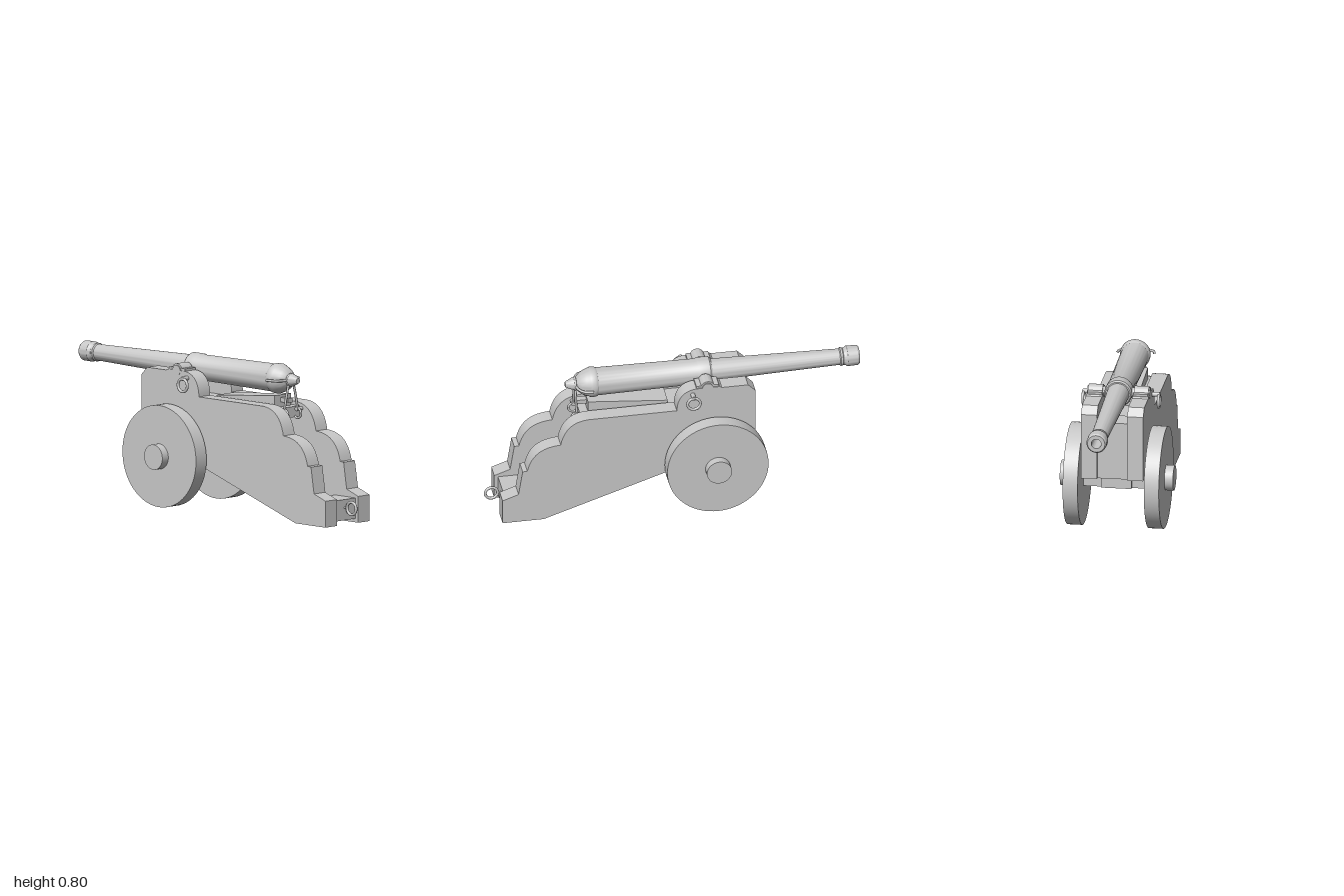
import * as THREE from 'three';
import { toCreasedNormals } from 'three/addons/utils/BufferGeometryUtils.js';

export function createModel() {
  const root = new THREE.Group();
  root.name = 'cannon';
  const grey = new THREE.MeshStandardMaterial({ color: 0xc8c8c8 });
  grey.name = 'plain grey';
  const AXIS_Y = 0.723, TRUNNION_Z = -0.165, WHEEL_Z = -0.203;

  const add = (name, geo, x = 0, y = 0, z = 0) => {
    const m = new THREE.Mesh(geo, grey);
    m.name = name;
    m.position.set(x, y, z);
    root.add(m);
    return m;
  };
  // box given by its limits
  const box = (name, x0, x1, y0, y1, z0, z1) =>
    add(name, new THREE.BoxGeometry(x1 - x0, y1 - y0, z1 - z0), (x0 + x1) / 2, (y0 + y1) / 2, (z0 + z1) / 2);
  // cylinder along x between x0 and x1
  const rod = (name, r, x0, x1, y, z, seg = 32) =>
    add(name, new THREE.CylinderGeometry(r, r, Math.abs(x1 - x0), seg).rotateZ(Math.PI / 2), (x0 + x1) / 2, y, z);
  // side profile in (z, y), extruded between x0 and x1
  const slab = (name, shape, x0, x1) => {
    const g = new THREE.ExtrudeGeometry(shape, { depth: x1 - x0, bevelEnabled: false, curveSegments: 12 });
    return add(name, toCreasedNormals(g.rotateY(-Math.PI / 2), 0.5), x1);
  };
  // ring lying in the y-z plane
  const ring = (name, r, t, x, y, z) =>
    add(name, new THREE.TorusGeometry(r, t, 10, 32).rotateY(Math.PI / 2), x, y, z);
  const tube = (name, pts, r) => add(name, new THREE.TubeGeometry(
    new THREE.CatmullRomCurve3(pts.map(p => new THREE.Vector3(...p))), 24, r, 8));

  // barrel, with hollow bore, mouldings and rear knob: [radius, z]
  const profile = [
    [0, -0.8], [0.026, -0.8], [0.026, -1], [0.046, -1], [0.053, -0.99], [0.054, -0.935],
    [0.047, -0.925], [0.045, -0.915], [0.049, -0.91], [0.049, -0.9], [0.043, -0.895],
    [0.059, -0.21], [0.066, -0.21], [0.073, -0.2], [0.073, -0.14], [0.068, -0.13],
    [0.074, 0.4], [0.078, 0.405], [0.08, 0.415], [0.08, 0.435], [0.075, 0.445],
    [0.07, 0.46], [0.058, 0.485], [0.036, 0.508], [0.028, 0.512], [0.034, 0.52],
    [0.032, 0.53], [0.018, 0.56], [0.014, 0.567], [0, 0.567],
  ].map(p => new THREE.Vector2(...p));
  add('barrel', toCreasedNormals(new THREE.LatheGeometry(profile, 48).rotateX(Math.PI / 2), 0.5), 0, AXIS_Y);

  // stepped carriage cheeks
  const cheek = new THREE.Shape();
  cheek.moveTo(0.93, 0);
  cheek.lineTo(0.93, 0.14);
  cheek.lineTo(0.845, 0.17);
  cheek.lineTo(0.823, 0.31);
  cheek.lineTo(0.798, 0.312);
  cheek.bezierCurveTo(0.775, 0.41, 0.72, 0.45, 0.62, 0.455);
  cheek.bezierCurveTo(0.6, 0.56, 0.54, 0.6, 0.45, 0.597);
  cheek.lineTo(0, 0.597);
  cheek.bezierCurveTo(0, 0.66, -0.03, 0.72, -0.11, 0.722);
  cheek.lineTo(-0.23, 0.722);
  cheek.lineTo(-0.24, 0.715);
  cheek.lineTo(-0.38, 0.715);
  cheek.lineTo(-0.42, 0.675);
  cheek.lineTo(-0.42, 0.32);
  cheek.lineTo(-0.15, 0.32);
  cheek.lineTo(-0.13, 0.28);
  cheek.lineTo(0.71, 0);
  cheek.closePath();

  // curved cap over each trunnion, with flat feet
  const cap = new THREE.Shape();
  cap.moveTo(-0.06, -0.008);
  cap.lineTo(0.06, -0.008);
  cap.lineTo(0.06, 0.014);
  cap.lineTo(0.034, 0.014);
  cap.absarc(0, 0, 0.037, 0.4, Math.PI - 0.4, false);
  cap.lineTo(-0.06, 0.014);
  cap.closePath();

  for (const s of [1, -1]) {
    const span = (a, b) => (s > 0 ? [a, b] : [-b, -a]);
    slab('cheek', cheek, ...span(0.08, 0.165));
    slab('trunnionCap', cap, ...span(0.083, 0.16)).position.set(s > 0 ? 0.16 : -0.083, 0.72, TRUNNION_Z);
    rod('trunnion', 0.028, ...span(0.05, 0.166), 0.72, TRUNNION_Z);
    rod('wheel', 0.27, ...span(0.176, 0.255), 0.27, WHEEL_Z, 72);
    rod('hub', 0.067, ...span(0.25, 0.3), 0.27, WHEEL_Z);

    // side lifting ring on its bolt
    rod('ringBolt', 0.012, ...span(0.16, 0.204), 0.688, -0.085, 16);
    ring('sideRing', 0.034, 0.0075, s * 0.2, 0.653, -0.085);

    // rope arms round the breech, and hanging straps with end rings
    tube('breechArm', [[s * 0.025, AXIS_Y, 0.515], [s * 0.06, AXIS_Y, 0.505],
      [s * 0.09, AXIS_Y, 0.48], [s * 0.1, AXIS_Y, 0.43]], 0.007);
    tube('hangingStrap', [[s * 0.02, 0.695, 0.515], [s * 0.032, 0.65, 0.515],
      [s * 0.045, 0.59, 0.515], [s * 0.048, 0.555, 0.515]], 0.0065);
    ring('strapRing', 0.026, 0.006, s * 0.048, 0.543, 0.515);
    rod('strapBolt', 0.01, ...span(0.04, 0.085), 0.564, 0.515, 16);
  }
  add('breechLoop', new THREE.TorusGeometry(0.031, 0.006, 10, 32), 0, AXIS_Y, 0.515);

  // axle, bolster and cross pieces between the cheeks
  box('axle', -0.178, 0.178, 0.22, 0.32, -0.253, -0.153);
  box('bolster', -0.08, 0.08, 0.22, 0.53, -0.27, -0.13);
  box('frontTransom', -0.08, 0.08, 0.32, 0.63, -0.405, -0.28);
  box('tailTransom', -0.08, 0.08, 0.02, 0.13, 0.76, 0.91);
  box('bed', -0.08, 0.08, 0.52, 0.577, -0.28, 0.5);

  // sloping wedge under the breech, with its grip
  const wedge = new THREE.Shape([[0.455, 0.57], [0.455, 0.64], [0.03, 0.6], [0.03, 0.57]]
    .map(p => new THREE.Vector2(...p)));
  slab('elevationWedge', wedge, -0.062, 0.062);
  box('wedgeGrip', -0.018, 0.018, 0.602, 0.626, 0.44, 0.51);

  // tail ring
  ring('tailRing', 0.033, 0.0075, 0, 0.087, 0.9595);
  add('tailRingBolt', new THREE.CylinderGeometry(0.006, 0.006, 0.03, 12).rotateX(Math.PI / 2), 0, 0.087, 0.915);

  return root;
}
